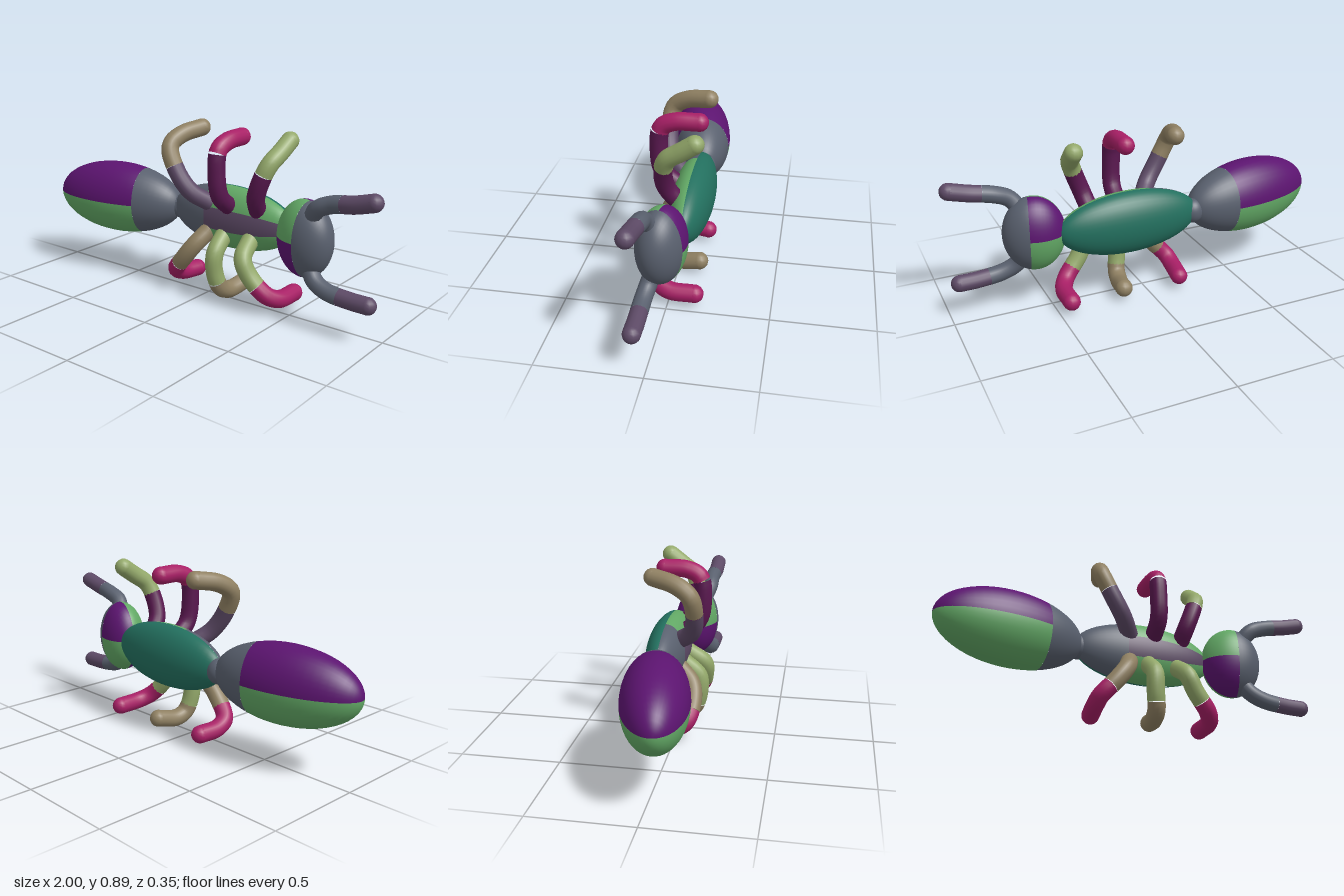
import * as THREE from 'three';

const PI = Math.PI;
const GREY = 0x59606e, PURPLE = 0x5c1470, GREEN = 0x62a865, TEAL = 0x23705f, MAUVE = 0x5d4a66,
  TAN = 0x8f8062, PINK = 0xa81f66, PLUM = 0x5a1850, LIME = 0x93a86a;

const mat = (color) => new THREE.MeshStandardMaterial({ color });

// Ellipsoid along x made of patches: [name, colour, from angle, to angle, from x, to x].
// Angles run from up (0) over front (PI/2) and down (PI) to back; x runs from 1 to -1.
function ellipsoid(name, centre, radii, turn, patches) {
  const group = new THREE.Group();
  group.name = name;
  for (const [part, color, a0, a1, x0, x1] of patches) {
    const t0 = Math.acos(x0), t1 = Math.acos(x1);
    const geo = new THREE.SphereGeometry(1, Math.ceil((a1 - a0) * 6), Math.ceil((t1 - t0) * 8),
      a0, a1 - a0, t0, t1 - t0);
    geo.rotateZ(-PI / 2);
    geo.scale(...radii);
    const mesh = new THREE.Mesh(geo, mat(color));
    mesh.name = part;
    group.add(mesh);
  }
  group.position.set(...centre);
  group.rotation.y = turn;
  return group;
}

// Round limb along a smooth path, in two colours that meet at the fraction "split"
function limb(name, path, radius, rootColor, tipColor, split) {
  const group = new THREE.Group();
  group.name = name;
  const curve = new THREE.CatmullRomCurve3(path.map((p) => new THREE.Vector3(...p)), false, 'centripetal');
  const section = (part, from, to, color) => {
    const pts = [];
    for (let i = 0; i <= 10; i++) pts.push(curve.getPointAt(from + (to - from) * i / 10));
    const mesh = new THREE.Mesh(
      new THREE.TubeGeometry(new THREE.CatmullRomCurve3(pts), 16, radius, 14), mat(color));
    mesh.name = part;
    group.add(mesh);
  };
  section('upperSegment', 0, split, rootColor);
  section('lowerSegment', split, 1, tipColor);
  // rounded ends
  for (const [part, t, color] of [['rootEnd', 0, rootColor], ['tipEnd', 1, tipColor]]) {
    const ball = new THREE.Mesh(new THREE.SphereGeometry(radius, 14, 10), mat(color));
    ball.position.copy(curve.getPointAt(t));
    ball.name = part;
    group.add(ball);
  }
  return group;
}

export function createModel() {
  const model = new THREE.Group();
  model.name = 'ant';

  // Body
  model.add(ellipsoid('abdomen', [-0.62, 0.415, 0], [0.385, 0.195, 0.16], 0.17, [
    ['abdomenFront', GREY, 0, 2 * PI, 1, 0.42],
    ['abdomenUpper', PURPLE, -PI / 2, PI / 2, 0.42, -1],
    ['abdomenLower', GREEN, PI / 2, 1.5 * PI, 0.42, -1],
  ]));
  model.add(ellipsoid('waist', [-0.255, 0.41, -0.075], [0.06, 0.065, 0.055], 0,
    [['waistJoint', GREY, 0, 2 * PI, 1, -1]]));
  model.add(ellipsoid('thorax', [0.1, 0.415, -0.07], [0.375, 0.165, 0.105], 0, [
    ['thoraxRear', GREY, 0, PI, -0.3, -1],
    ['thoraxUpper', GREEN, 0, 1.2, 1, -0.3],
    ['thoraxMiddle', MAUVE, 1.2, 1.9, 1, -0.3],
    ['thoraxLower', GREEN, 1.9, PI, 1, -0.3],
    ['thoraxBack', TEAL, PI, 2 * PI, 1, -1],
  ]));
  model.add(ellipsoid('head', [0.575, 0.415, 0], [0.155, 0.192, 0.115], -0.25, [
    ['face', GREY, 0, 2 * PI, 1, 0.15],
    ['headUpperFront', GREEN, 0, PI / 2, 0.15, -1],
    ['headLowerFront', PURPLE, PI / 2, PI, 0.15, -1],
    ['headLowerBack', GREEN, PI, 1.5 * PI, 0.15, -1],
    ['headUpperBack', PURPLE, 1.5 * PI, 2 * PI, 0.15, -1],
  ]));

  // Antennae
  model.add(limb('upperAntenna', [[0.62, 0.52, 0.03], [0.67, 0.59, 0.06], [0.75, 0.625, 0.06],
    [0.86, 0.645, 0.07], [0.955, 0.67, 0.07]], 0.042, GREY, MAUVE, 0.6));
  model.add(limb('lowerAntenna', [[0.62, 0.3, 0.03], [0.66, 0.24, 0.05], [0.73, 0.205, 0.06],
    [0.85, 0.19, 0.06], [0.945, 0.188, 0.06]], 0.042, GREY, MAUVE, 0.6));

  // Legs: three above and three below, each bent back at the knee
  const legs = [
    ['upperRearLeg', [[0, 0.49, 0], [-0.06, 0.55, 0.07], [-0.13, 0.65, 0.095], [-0.185, 0.77, 0.08],
      [-0.17, 0.82, 0.01], [-0.13, 0.845, -0.11]], MAUVE, TAN, 0.45],
    ['upperMiddleLeg', [[0.13, 0.49, 0], [0.13, 0.56, 0.08], [0.125, 0.68, 0.1], [0.125, 0.79, 0.085],
      [0.13, 0.825, 0.02], [0.13, 0.83, -0.1]], PLUM, PINK, 0.6],
    ['upperFrontLeg', [[0.29, 0.49, -0.02], [0.31, 0.57, 0.03], [0.35, 0.68, 0.035],
      [0.375, 0.745, 0.01], [0.39, 0.79, -0.05], [0.4, 0.84, -0.12]], PLUM, LIME, 0.5],
    ['lowerRearLeg', [[0, 0.34, 0], [-0.04, 0.27, 0.07], [-0.1, 0.19, 0.085], [-0.17, 0.11, 0.06],
      [-0.18, 0.075, 0], [-0.165, 0.065, -0.11]], TAN, PINK, 0.5],
    ['lowerMiddleLeg', [[0.1, 0.34, 0], [0.105, 0.26, 0.085], [0.105, 0.17, 0.09], [0.12, 0.075, 0.06],
      [0.13, 0.047, 0], [0.15, 0.065, -0.11]], LIME, TAN, 0.55],
    ['lowerFrontLeg', [[0.26, 0.34, 0], [0.28, 0.27, 0.09], [0.32, 0.19, 0.09], [0.4, 0.1, 0.06],
      [0.435, 0.07, 0], [0.44, 0.065, -0.13]], LIME, PINK, 0.5],
  ];
  for (const [name, path, root, tip, split] of legs) model.add(limb(name, path, 0.045, root, tip, split));

  return model;
}
